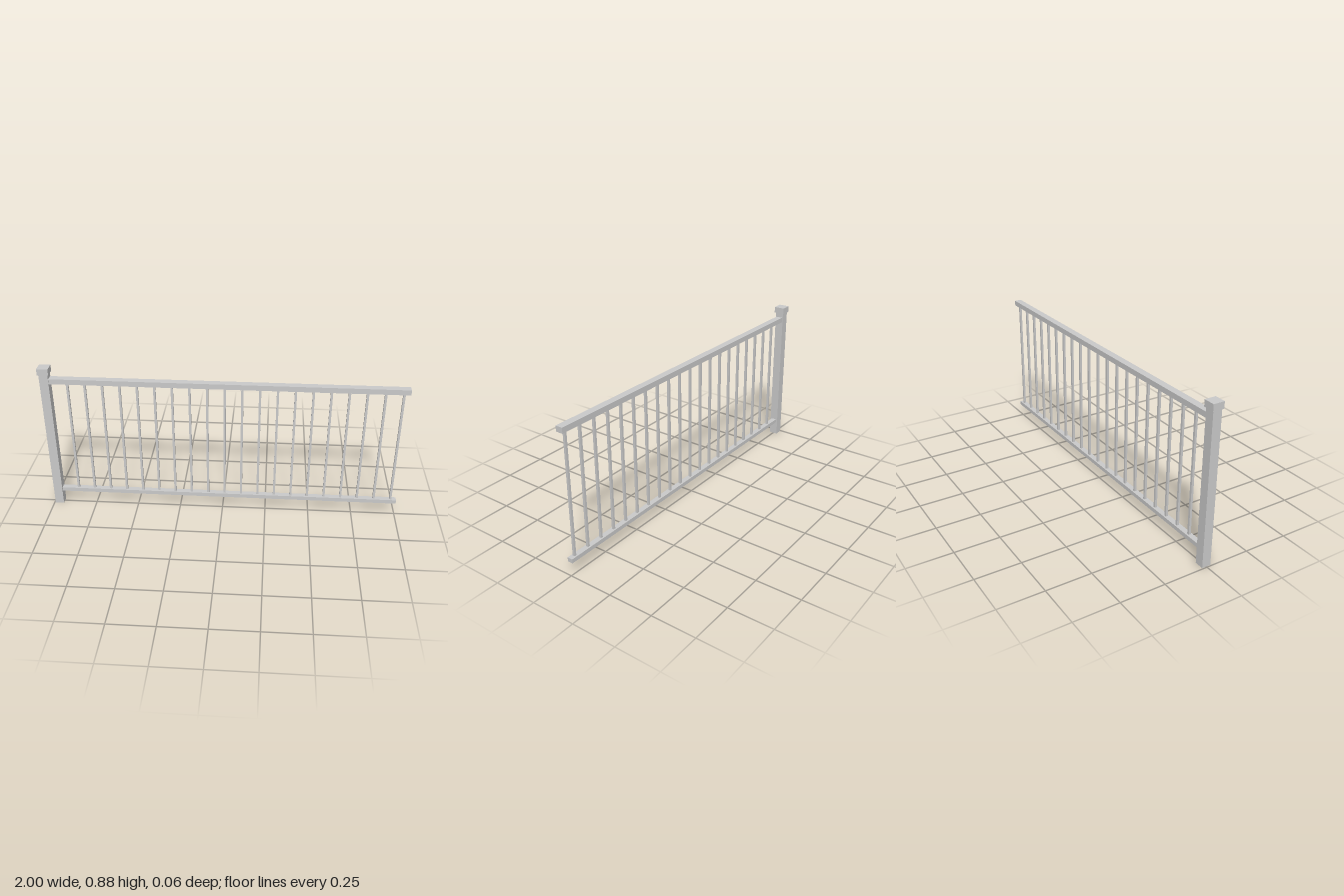
import * as THREE from 'three';

export function createModel() {
  const group = new THREE.Group();
  const metal = new THREE.MeshStandardMaterial({ color: 0xcacaca, side: THREE.DoubleSide });
  metal.name = 'light grey metal';

  // Hollow bar, open underneath, given by its x and y extents and centred on z = 0
  const bar = (name, x0, x1, y0, y1, depth) => {
    const box = new THREE.BoxGeometry(x1 - x0, y1 - y0, depth);
    const index = Array.from(box.index.array);
    index.splice(18, 6); // the bottom face
    box.setIndex(index);
    box.clearGroups();
    const mesh = new THREE.Mesh(box, metal);
    mesh.position.set((x0 + x1) / 2, (y0 + y1) / 2, 0);
    mesh.name = name;
    group.add(mesh);
  };

  // End post and its cap
  bar('post', -0.994, -0.944, 0, 0.84, 0.05);
  bar('postCap', -1, -0.9375, 0.84, 0.876, 0.0625);

  // Rails
  bar('topRail', -0.944, 1, 0.783, 0.813, 0.04);
  bar('bottomRail', -0.944, 1, 0.081, 0.104, 0.031);

  // Evenly spaced balusters between the rails
  const count = 20, first = -0.849, last = 0.968, width = 0.0125;
  for (let i = 0; i < count; i++) {
    const x = first + ((last - first) * i) / (count - 1);
    bar(`baluster${i + 1}`, x - width / 2, x + width / 2, 0.104, 0.783, width);
  }
  return group;
}
